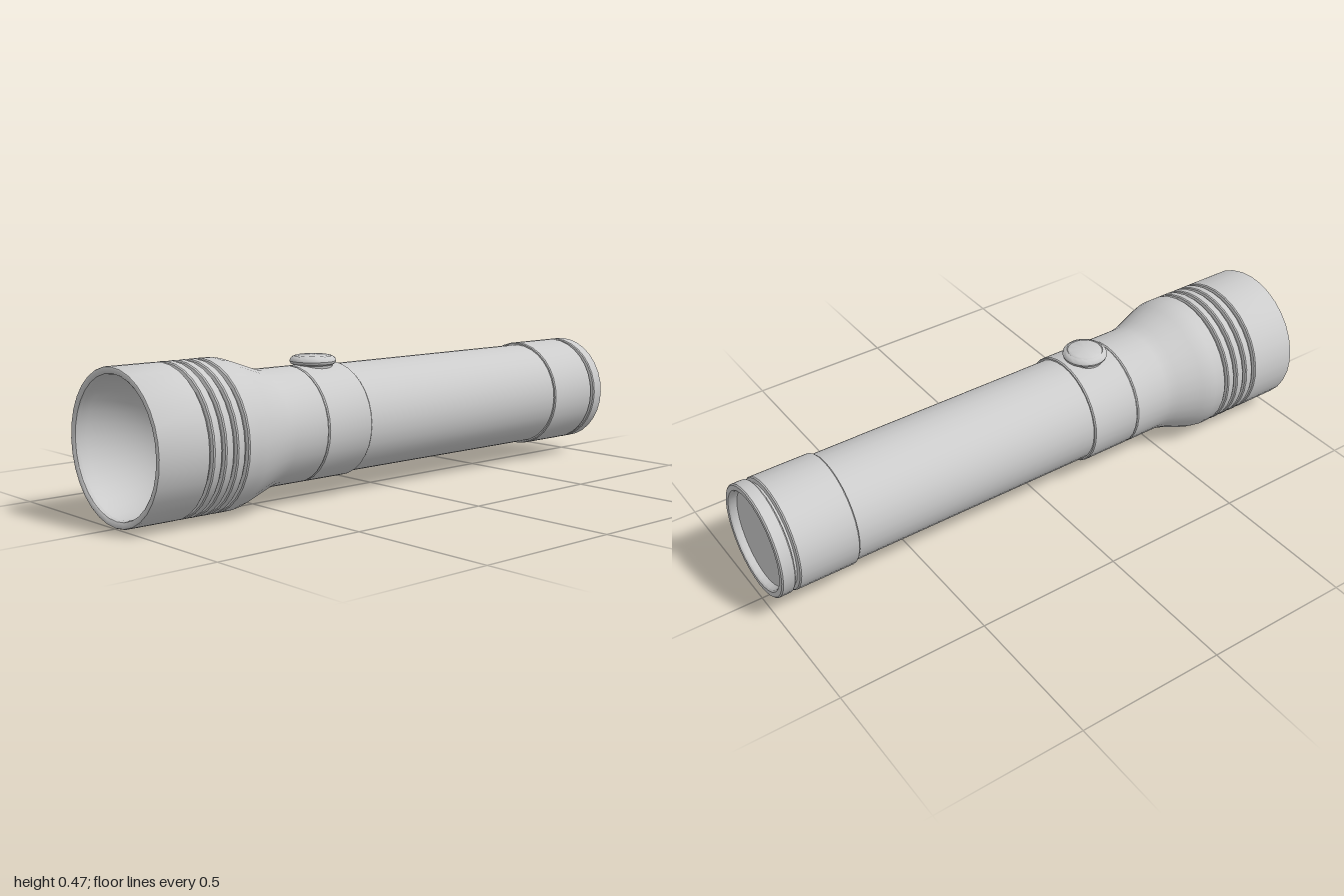
import * as THREE from 'three';
import { toCreasedNormals } from 'three/addons/utils/BufferGeometryUtils.js';

const AXIS_Y = 0.238;
const material = new THREE.MeshStandardMaterial({ color: 0xcccccc });

// Lathe from [radius, height] pairs, with sharp edges kept
function turned(name, profile, sides) {
  const points = profile.map(([r, h]) => new THREE.Vector2(r, h));
  const geometry = toCreasedNormals(new THREE.LatheGeometry(points, sides), 0.6);
  const mesh = new THREE.Mesh(geometry, material);
  mesh.name = name;
  return mesh;
}

// Lathe laid along z: profile is [radius, z], running from back to front
function alongZ(name, profile) {
  const mesh = turned(name, profile, 32);
  mesh.geometry.rotateX(Math.PI / 2);
  mesh.position.y = AXIS_Y;
  return mesh;
}

// Narrow V groove with softened shoulders
function groove(r, z, depth, half) {
  return [[r, z - half - 0.004], [r - 0.003, z - half], [r - depth, z - half * 0.5],
    [r - depth, z + half * 0.5], [r - 0.003, z + half], [r, z + half + 0.004]];
}

export function createModel() {
  const group = new THREE.Group();
  group.name = 'flashlight';

  // Tail cap: recessed end disc, rim, groove and sleeve
  group.add(alongZ('tailCap', [
    [0, -0.975], [0.158, -0.975], [0.162, -0.995], [0.167, -1], [0.183, -1], [0.187, -0.996],
    ...groove(0.187, -0.947, 0.014, 0.007),
    [0.187, -0.739], [0.184, -0.735], [0.175, -0.735],
  ]));

  // Plain grip tube
  group.add(alongZ('barrel', [[0.179, -0.74], [0.179, 0.17]]));

  // Switch collar
  group.add(alongZ('switchCollar', [
    [0.175, 0.16], [0.184, 0.16], [0.187, 0.164], [0.187, 0.336], [0.184, 0.34], [0.178, 0.34],
  ]));

  // Flared head with cooling grooves and rounded lip
  const head = [[0.178, 0.341], [0.184, 0.341], [0.187, 0.345], [0.187, 0.47], [0.19, 0.49],
    [0.197, 0.515], [0.225, 0.595], [0.232, 0.616], [0.237, 0.645]];
  for (const z of [0.695, 0.736, 0.778, 0.82]) head.push(...groove(0.237, z, 0.013, 0.006));
  head.push([0.237, 0.994], [0.235, 0.998], [0.231, 1], [0.221, 0.999], [0.216, 0.995], [0.213, 0.985]);
  group.add(alongZ('head', head));

  // Bowl reflector, facing forwards
  const bowl = [];
  for (let i = 0; i <= 14; i++) {
    const a = (i / 14) * Math.PI / 2;
    bowl.push([0.213 * Math.cos(a), 0.985 - 0.25 * Math.sin(a)]);
  }
  group.add(alongZ('reflector', bowl));

  // Push button with a rounded surround
  const button = turned('switchButton', [
    [0.06, 0.4], [0.064, 0.422], [0.072, 0.427], [0.075, 0.435], [0.073, 0.442], [0.067, 0.448],
    [0.06, 0.451], [0.058, 0.448], [0.056, 0.451], [0.052, 0.453], [0, 0.453],
  ], 32);
  button.position.z = 0.25;
  group.add(button);

  return group;
}
